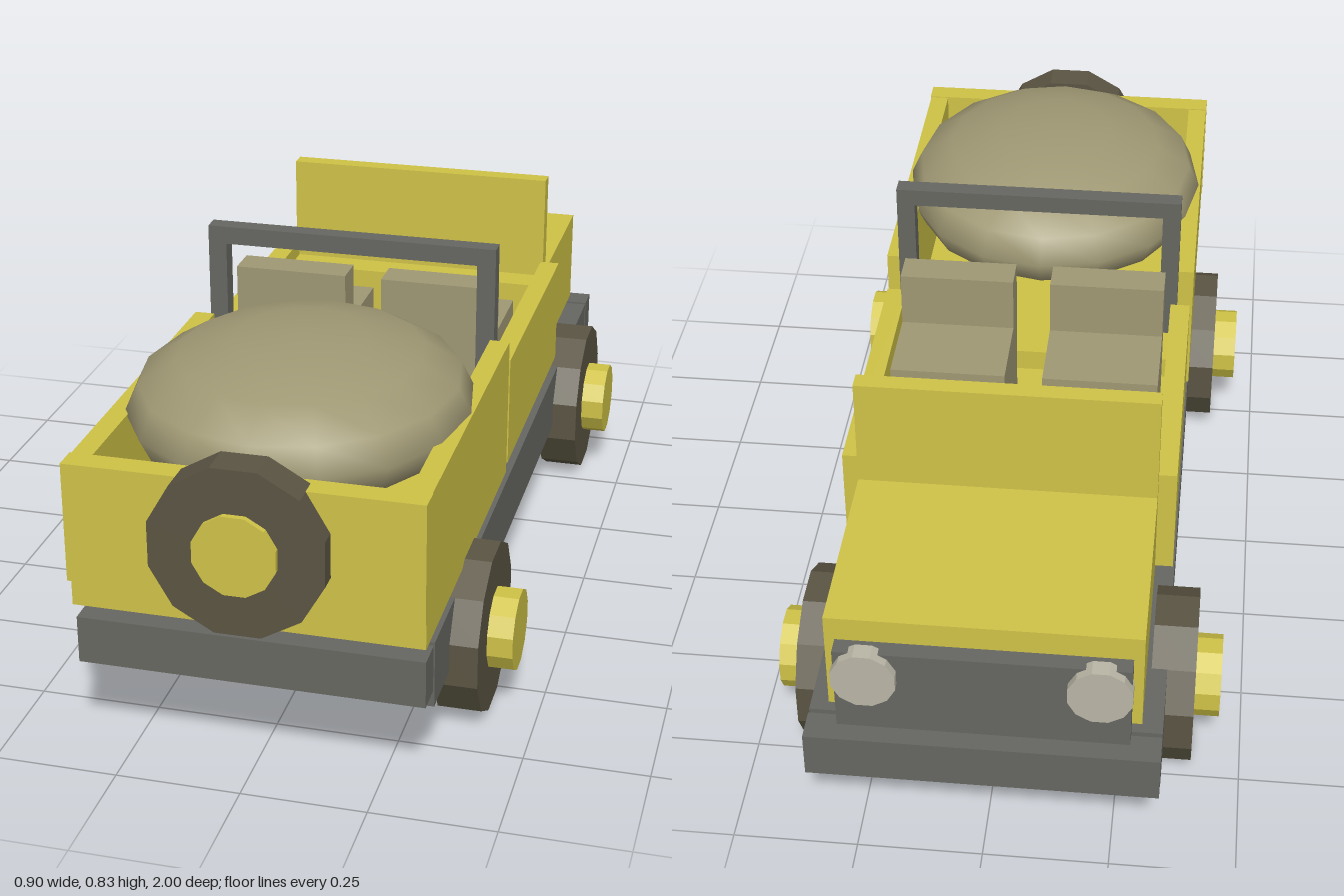
import * as THREE from 'three';

export function createModel() {
  const root = new THREE.Group();
  root.name = 'openTruck';
  const mat = (name, color, flatShading = true) => {
    const m = new THREE.MeshStandardMaterial({ color, flatShading });
    m.name = name;
    return m;
  };
  const yellow = mat('yellowPaint', 0xcfc247);
  const grey = mat('darkGreyMetal', 0x666761);
  const rubber = mat('brownRubber', 0x5a5442);
  const tan = mat('tanSeat', 0x9f9874);
  const canvas = mat('tanCanvas', 0x9f9874, false);
  const glass = mat('lampGlass', 0xb9b6a6);

  const add = (name, geo, material, x = 0, y = 0, z = 0) => {
    const mesh = new THREE.Mesh(geo, material);
    mesh.name = name;
    mesh.position.set(x, y, z);
    root.add(mesh);
    return mesh;
  };
  // box given by its extents
  const box = (name, m, x0, x1, y0, y1, z0, z1) =>
    add(name, new THREE.BoxGeometry(x1 - x0, y1 - y0, z1 - z0), m,
      (x0 + x1) / 2, (y0 + y1) / 2, (z0 + z1) / 2);
  // the same box on both sides
  const pair = (name, m, x0, x1, ...rest) => {
    box(name + 'Left', m, x0, x1, ...rest);
    box(name + 'Right', m, -x1, -x0, ...rest);
  };
  // twelve-sided disc along x or z, with a flat side at the bottom
  const disc = (name, m, r, depth, axis, x, y, z) => {
    const g = new THREE.CylinderGeometry(r, r, depth, 12).rotateY(Math.PI / 12);
    if (axis === 'x') g.rotateZ(Math.PI / 2);
    else g.rotateX(Math.PI / 2);
    return add(name, g, m, x, y, z);
  };

  // chassis and bumpers
  box('chassis', grey, -0.343, 0.343, 0.155, 0.295, -0.925, 0.85);
  box('noseBumper', grey, -0.343, 0.343, 0.197, 0.295, -1, -0.935);
  box('tailBumper', grey, -0.343, 0.343, 0.197, 0.295, 0.862, 0.925);

  // hood, grille and windshield panel
  box('hood', yellow, -0.303, 0.303, 0.318, 0.537, -0.925, -0.405);
  box('grille', grey, -0.283, 0.283, 0.295, 0.485, -0.96, -0.925);
  box('windshieldPanel', yellow, -0.303, 0.303, 0.537, 0.773, -0.513, -0.475);

  // cabin
  box('cabinFloor', yellow, -0.34, 0.34, 0.33, 0.37, -0.48, 0.125);
  pair('cabinWall', yellow, 0.297, 0.34, 0.37, 0.57, -0.48, 0.125);
  pair('seatCushion', tan, 0.04, 0.285, 0.37, 0.58, -0.193, -0.015);
  pair('seatBack', tan, 0.04, 0.285, 0.37, 0.7, -0.015, 0.057);

  // cargo bed
  box('cargoFloor', yellow, -0.303, 0.303, 0.328, 0.387, 0.168, 0.935);
  pair('cargoWall', yellow, 0.303, 0.345, 0.328, 0.63, 0.168, 0.935);
  box('tailgate', yellow, -0.347, 0.347, 0.387, 0.632, 0.9, 0.95);

  // roll bar
  pair('rollBarPost', grey, 0.272, 0.311, 0.49, 0.83, 0.128, 0.166);
  box('rollBarTop', grey, -0.272, 0.272, 0.792, 0.83, 0.128, 0.166);

  // rounded load in the bed
  add('cargoBundle', new THREE.SphereGeometry(1, 16, 8).scale(0.343, 0.145, 0.38),
    canvas, 0, 0.626, 0.542);

  // wheels and hubs
  for (const z of [0.55, -0.625]) {
    for (const s of [1, -1]) {
      disc('tire', rubber, 0.176, 0.088, 'x', s * 0.356, 0.17, z);
      disc('hub', yellow, 0.084, 0.092, 'x', s * 0.406, 0.17, z);
    }
  }

  // spare wheel
  disc('spareTire', rubber, 0.175, 0.072, 'z', 0, 0.508, 0.952);
  disc('spareHub', yellow, 0.083, 0.05, 'z', 0, 0.508, 0.975);

  // headlights
  for (const s of [1, -1]) disc('headlight', glass, 0.064, 0.035, 'z', s * 0.224, 0.43, -0.96);

  return root;
}
